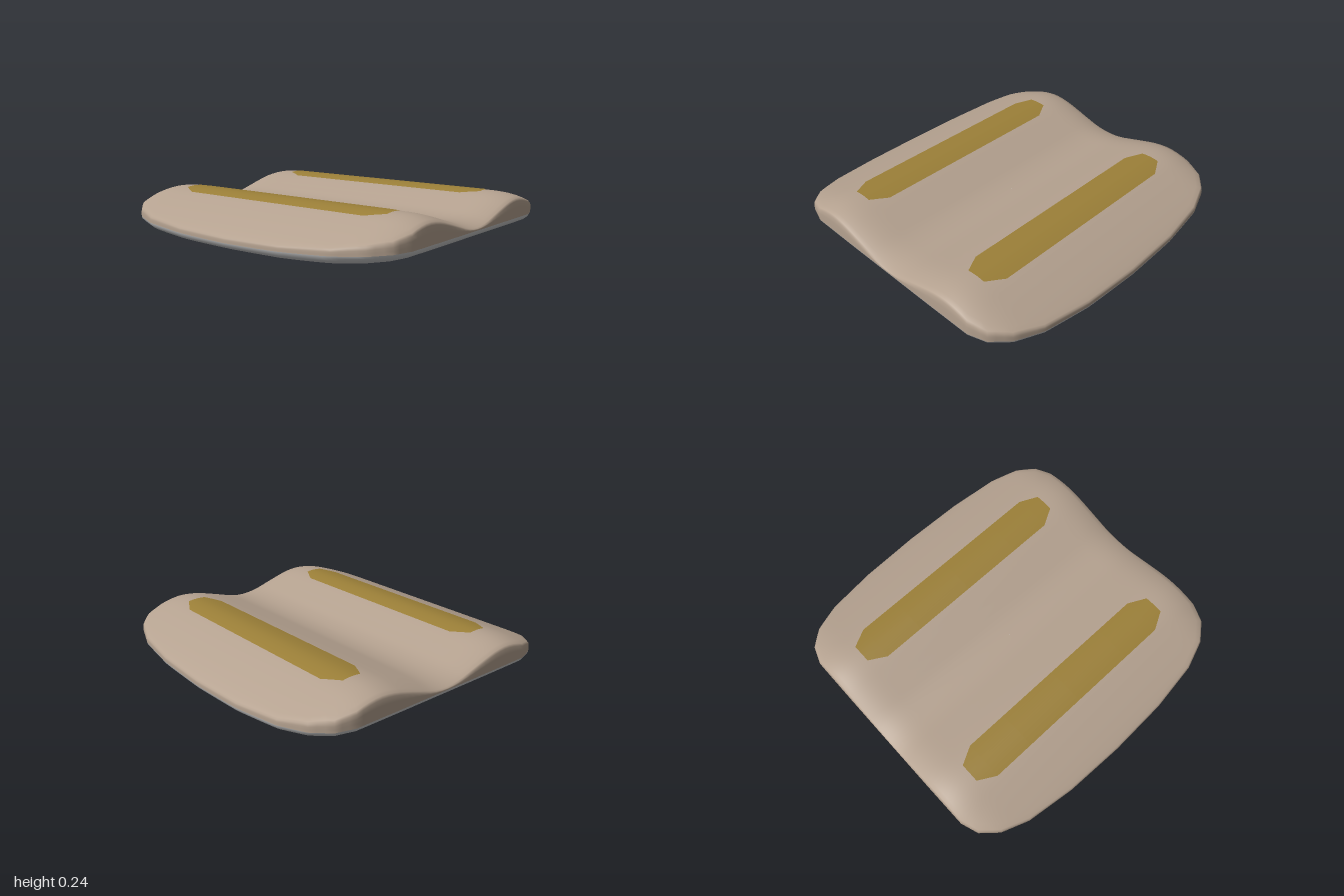
import * as THREE from 'three';

const lerp = THREE.MathUtils.lerp;

// piecewise smooth height of the top along z: valley in the middle, two ridges
const PROFILE = [[0, 0.132], [0.1, 0.142], [0.2, 0.17], [0.3, 0.2], [0.4, 0.226], [0.5, 0.236],
  [0.6, 0.222], [0.7, 0.19], [0.8, 0.152], [0.9, 0.11], [0.98, 0.07]];
const ridge = new THREE.SplineCurve(
  [...PROFILE.slice(1).reverse().map(([z, y]) => [-z, y]), ...PROFILE].map(p => new THREE.Vector2(...p))
).getPoints(400);

function profileY(z) {
  let i = 1;
  while (i < ridge.length - 1 && ridge[i].x < z) i++;
  const a = ridge[i - 1], b = ridge[i];
  return lerp(a.y, b.y, THREE.MathUtils.clamp((z - a.x) / (b.x - a.x), 0, 1));
}

// the top bends down towards the left and right edges
function topY(x, z) {
  const e = Math.max(0, (Math.abs(x) - 0.75) / 0.25);
  return profileY(z) - 0.035 * e ** 3;
}
const seamY = x => 0.045 + 0.042 * x * x;
const bottomY = x => 0.045 * Math.abs(x) ** 3;

// rounded-square plan, counterclockwise seen from above, edges subdivided
function planOutline() {
  const q = [[0, 0.972], [0.38, 0.96], [0.69, 0.92], [0.86, 0.857], [0.96, 0.77], [0.998, 0.66], [1, 0.36]];
  const half = [...q, [1, 0], ...q.slice().reverse().map(([x, z]) => [x, -z])];
  const loop = [...half, ...half.slice(1, -1).reverse().map(([x, z]) => [-x, z])];
  const pts = [];
  loop.forEach(([x, z], i) => {
    const [nx, nz] = loop[(i + 1) % loop.length];
    const n = Math.max(2, Math.ceil(Math.hypot(nx - x, nz - z) / 0.05));
    for (let k = 0; k < n; k++) pts.push([lerp(x, nx, k / n), lerp(z, nz, k / n)]);
  });
  return pts;
}

// surface from a grid of points
function surface(rows, closed) {
  const n = rows[0].length, pos = rows.flat(2), index = [];
  for (let i = 0; i < rows.length - 1; i++) {
    for (let j = 0; j < (closed ? n : n - 1); j++) {
      const a = i * n + j, b = i * n + (j + 1) % n, c = a + n, d = b + n;
      index.push(a, c, d, a, d, b);
    }
  }
  const g = new THREE.BufferGeometry();
  g.setAttribute('position', new THREE.Float32BufferAttribute(pos, 3));
  g.setIndex(index);
  g.computeVertexNormals();
  return g;
}

function part(name, geometry, color) {
  const mesh = new THREE.Mesh(geometry, new THREE.MeshStandardMaterial({ color, side: THREE.DoubleSide }));
  mesh.name = name;
  return mesh;
}

export function createModel() {
  const group = new THREE.Group();
  group.name = 'contouredPad';
  const plan = planOutline();
  const ring = (s, y) => plan.map(([x, z]) => [x * s, y(x * s, z * s, x, z), z * s]);

  // upper cover: wavy top, rounded shoulder and side wall down to the seam
  const top = [];
  for (let i = 0; i <= 40; i++) top.push(ring(Math.max(0.002, i / 40 * 0.99), topY));
  for (const t of [0.1, 0.4, 0.7, 1]) {
    top.push(ring(t < 0.2 ? 0.998 : 1, (x, z, px, pz) => lerp(topY(px, pz), seamY(px), t)));
  }
  group.add(part('upperCover', surface(top, true), 0xb5a290));

  // base: rounded rim below the seam, then a nearly flat underside
  const base = [];
  for (const [s, t] of [[1, 0], [0.996, 0.25], [0.985, 0.52], [0.97, 0.74], [0.95, 0.9], [0.92, 0.98]]) {
    base.push(ring(s, x => lerp(seamY(x), bottomY(x), t)));
  }
  for (let i = 12; i >= 0; i--) base.push(ring(Math.max(0.002, i / 12 * 0.88), x => bottomY(x)));
  group.add(part('base', surface(base, true), 0xcccccc));

  // coloured strips with clipped ends lying on both ridges
  for (const side of [1, -1]) {
    const rows = [];
    for (const x of [-0.775, -0.72, -0.665, -0.4, 0, 0.4, 0.665, 0.72, 0.775]) {
      const w = 0.12 - 0.06 * Math.max(0, (Math.abs(x) - 0.665) / 0.11);
      const row = [];
      for (let j = 0; j <= 16; j++) {
        const z = side * 0.498 + w * (1 - j / 8);
        row.push([x, topY(x, z) + 0.003, z]);
      }
      rows.push(row);
    }
    group.add(part(side > 0 ? 'frontStrip' : 'backStrip', surface(rows.reverse().map(r => r.reverse()), false), 0x9c8038));
  }
  return group;
}
